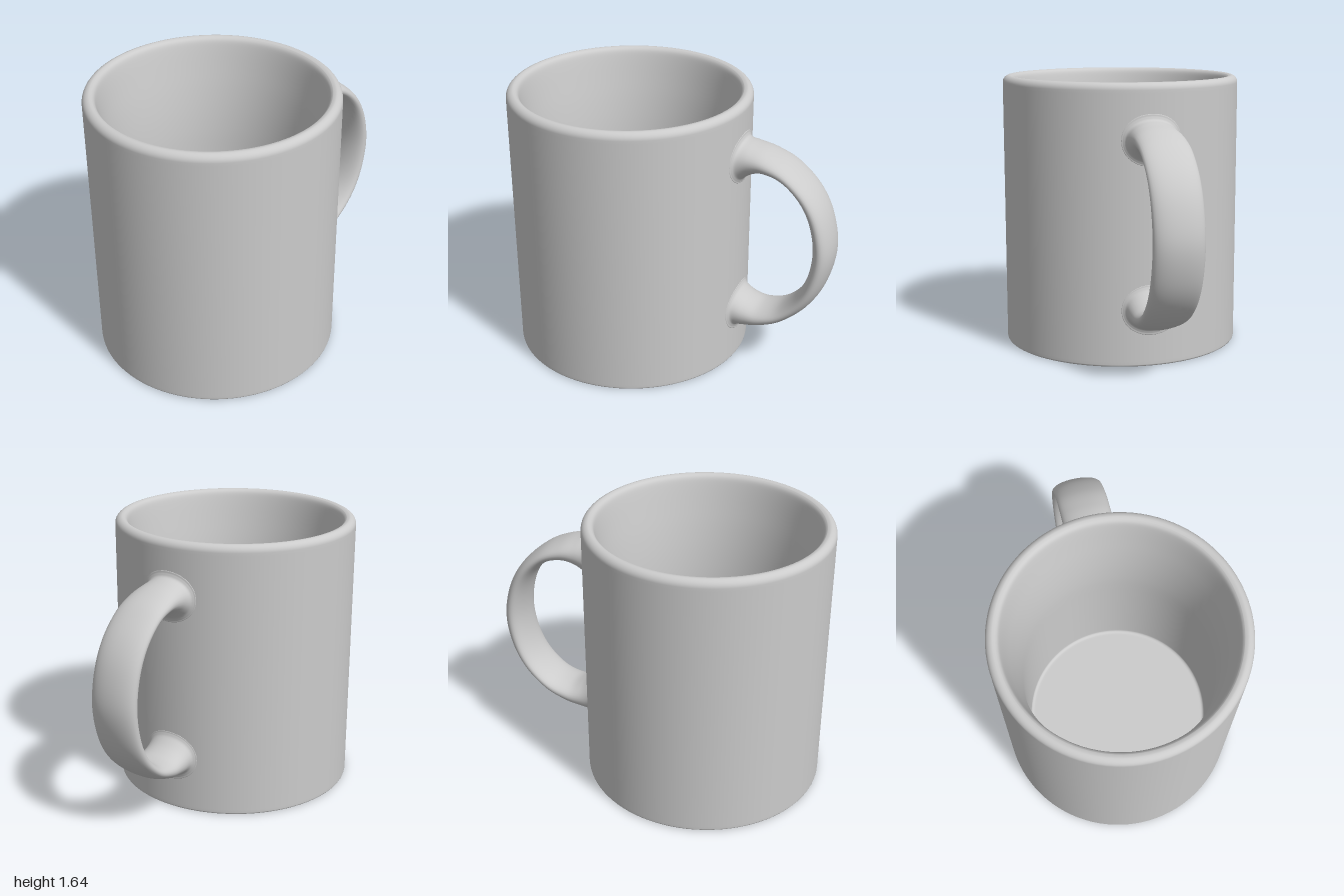
import * as THREE from 'three';

const R = 0.715, H = 1.636, BODY_Z = 0.285, HANDLE_Y = 0.825;

function createBody(material) {
  // Closed profile: underside, outer wall, rounded rim, flared inner wall, floor
  const pts = [];
  const add = (...list) => list.forEach(([x, y]) => pts.push(new THREE.Vector2(x, y)));
  const arc = (cx, cy, r, from, to, n) => {
    for (let i = 0; i <= n; i++) {
      const a = THREE.MathUtils.degToRad(from + (to - from) * i / n);
      add([cx + r * Math.cos(a), cy + r * Math.sin(a)]);
    }
  };
  add([0, 0.006], [0.58, 0.006], [0.61, 0.005], [0.64, 0.001], [0.66, 0], [0.69, 0]);
  arc(R - 0.012, 0.012, 0.012, -90, 0, 4);
  add([R, 0.03], [R, H - 0.06]);
  arc(R - 0.042, H - 0.042, 0.042, 0, 90, 8);
  // Lip easing into the inner wall
  const lip = [[0.66, 1.632], [0.645, 1.615], [0.633, 1.57], [0.613, 1.46],
    [0.59, 1.32], [0.572, 1.17], [0.562, 1.02], [0.56, 0.88]];
  pts.push(...new THREE.SplineCurve(lip.map(([x, y]) => new THREE.Vector2(x, y))).getPoints(28));
  add([0.56, 0.17]);
  arc(0.54, 0.15, 0.02, 0, -90, 5);
  add([0.53, 0.13], [0, 0.13]);
  const body = new THREE.Mesh(new THREE.LatheGeometry(pts, 96), material);
  body.name = 'cupBody';
  body.position.z = BODY_Z;
  return body;
}

function createHandle(material) {
  // Stations from wall to middle: outer z, outer y, inner z, inner y, half width, wall wrap
  const half = [
    [-0.415, 0.643, -0.415, 0.337, 0.178, 1],
    [-0.430, 0.638, -0.430, 0.340, 0.175, 1],
    [-0.434, 0.622, -0.434, 0.352, 0.165, 1],
    [-0.448, 0.602, -0.450, 0.375, 0.151, 0.95],
    [-0.50, 0.588, -0.51, 0.415, 0.145, 0.6],
    [-0.60, 0.560, -0.59, 0.435, 0.145, 0.25],
    [-0.73, 0.496, -0.70, 0.403, 0.145, 0],
    [-0.87, 0.370, -0.80, 0.302, 0.145, 0],
    [-0.96, 0.210, -0.86, 0.165, 0.145, 0],
    [-1.00, 0, -0.882, 0, 0.145, 0],
  ];
  const mirrored = half.slice(0, -1).reverse().map(([oz, oy, iz, iy, w, b]) => [oz, -oy, iz, -iy, w, b]);
  const stations = [...half, ...mirrored];
  const spline = (f) => new THREE.CatmullRomCurve3(stations.map(f), false, 'catmullrom');
  const outer = spline(([oz, oy, , , w]) => new THREE.Vector3(w, oy, oz));
  const inner = spline(([, , iz, iy, , b]) => new THREE.Vector3(b, iy, iz));

  // Loft a softened ellipse between the outer and inner edges
  const rings = 108, sides = 36, positions = [], indices = [];
  const soft = (v) => Math.sign(v) * Math.pow(Math.abs(v), 0.95);
  for (let i = 0; i <= rings; i++) {
    const o = outer.getPoint(i / rings), n = inner.getPoint(i / rings);
    for (let j = 0; j < sides; j++) {
      const a = j / sides * Math.PI * 2;
      const k = soft(Math.cos(a)) / 2, x = o.x * soft(Math.sin(a));
      const wrap = n.x * (R - Math.sqrt(R * R - x * x));
      positions.push(x, HANDLE_Y + (o.y + n.y) / 2 + (o.y - n.y) * k,
        (o.z + n.z) / 2 + (o.z - n.z) * k + wrap);
      if (i < rings) {
        const p = i * sides + j, q = i * sides + (j + 1) % sides;
        indices.push(p, q, p + sides, q, q + sides, p + sides);
      }
    }
  }
  const geometry = new THREE.BufferGeometry();
  geometry.setAttribute('position', new THREE.Float32BufferAttribute(positions, 3));
  geometry.setIndex(indices);
  geometry.computeVertexNormals();
  const handle = new THREE.Mesh(geometry, material);
  handle.name = 'handle';
  return handle;
}

export function createModel() {
  const group = new THREE.Group();
  group.name = 'mug';
  const material = new THREE.MeshStandardMaterial({ color: 0xcccccc });
  group.add(createBody(material), createHandle(material));
  return group;
}
